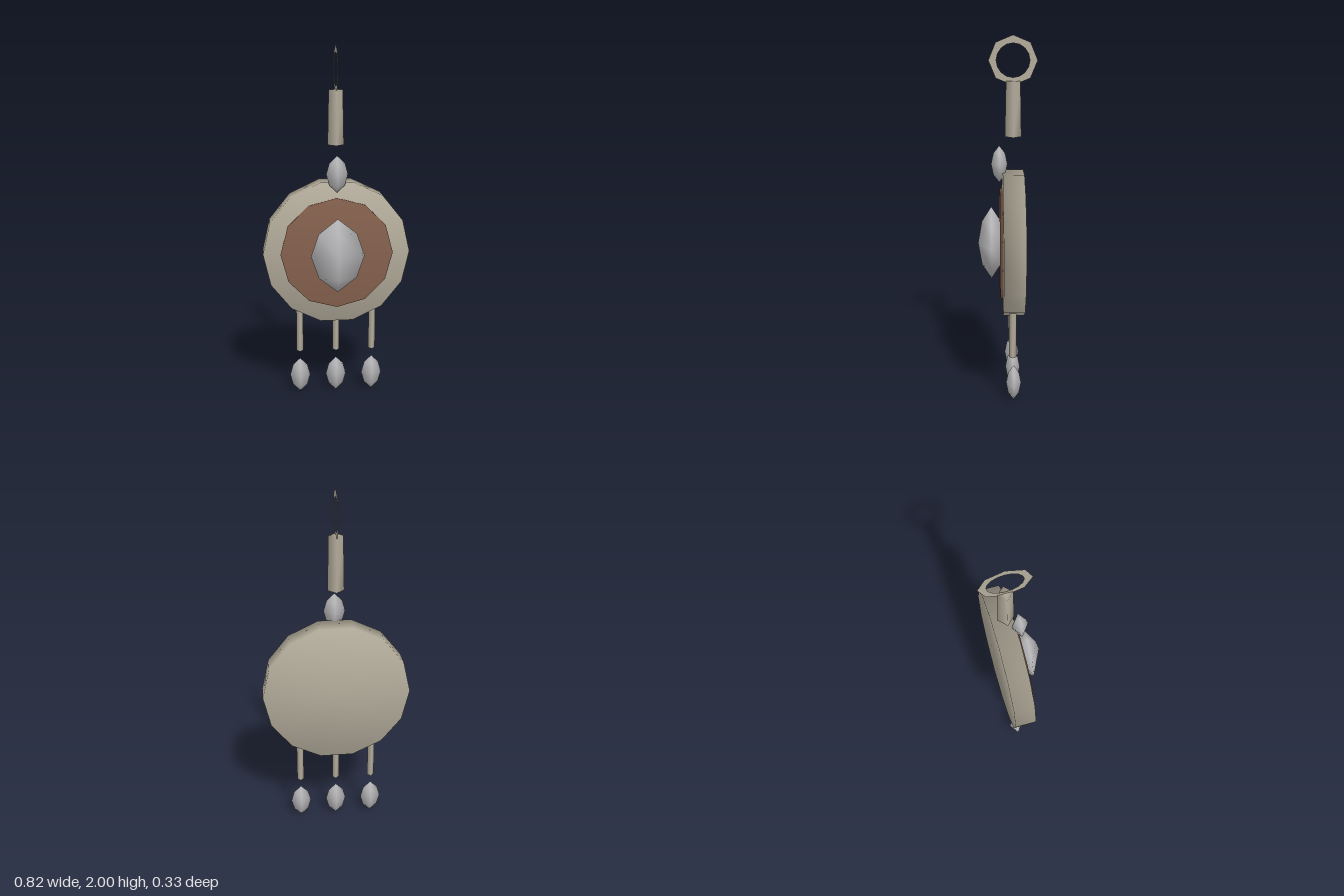
import * as THREE from 'three';
import { mergeVertices } from 'three/addons/utils/BufferGeometryUtils.js';

// Shares vertices across edges so shading is soft everywhere
function soften(geometry) {
  geometry.deleteAttribute('uv');
  geometry.deleteAttribute('normal');
  const merged = mergeVertices(geometry, 1e-4);
  merged.computeVertexNormals();
  return merged;
}

export function createModel() {
  const group = new THREE.Group();
  const material = (name, color) => {
    const m = new THREE.MeshStandardMaterial({ color });
    m.name = name;
    return m;
  };
  const stone = material('paleStone', 0xb5ae9d);
  const leather = material('brownLeather', 0x87624f);
  const silver = material('silver', 0xb9b9bb);
  const flatStone = material('ringStone', 0xb5ae9d);
  flatStone.side = THREE.DoubleSide;

  const add = (name, geometry, mat, x, y, z) => {
    const mesh = new THREE.Mesh(geometry, mat);
    mesh.name = name;
    mesh.position.set(x, y, z);
    group.add(mesh);
  };

  // Faceted disc facing +z with a corner on the x axis
  const disc = (radius, depth, sides) => soften(
    new THREE.CylinderGeometry(radius, radius, depth, sides, 1, false, Math.PI / 2).rotateX(Math.PI / 2));

  // Four-sided pointed bead
  const bead = (rx, ry, rz) => {
    const profile = [[0, -1], [0.71, -0.6], [1, 0], [0.71, 0.6], [0, 1]]
      .map(([r, y]) => new THREE.Vector2(r, y));
    return soften(new THREE.LatheGeometry(profile, 4).scale(rx, ry, rz));
  };

  // Four-sided tapered rod
  const rod = (top, bottom, height) => soften(new THREE.CylinderGeometry(top, bottom, height, 4));

  // Main medallion
  add('medallion', disc(0.412, 0.118, 14), stone, 0, 0.86, -0.032);
  add('medallionInlay', disc(0.315, 0.03, 12), leather, 0, 0.86, 0.028);
  add('centreGem', bead(0.149, 0.21, 0.075), silver, 0, 0.86, 0.09);
  add('topBead', bead(0.06, 0.102, 0.045), silver, 0, 1.31, 0.045);

  // Hanging stem and flat ring, seen edge-on from the front
  add('stem', rod(0.039, 0.045, 0.3), stone, 0, 1.61, -0.031);
  const polygon = (radius, sides) => Array.from({ length: sides }, (_, i) => {
    const a = (i / sides) * Math.PI * 2;
    return new THREE.Vector2(Math.cos(a) * radius, Math.sin(a) * radius);
  });
  const ringShape = new THREE.Shape(polygon(0.132, 8));
  ringShape.holes.push(new THREE.Path(polygon(0.09, 16)));
  add('hangingRing', new THREE.ShapeGeometry(ringShape).rotateY(Math.PI / 2), flatStone, 0, 1.868, -0.03);

  // Three tassels below the medallion
  for (const x of [-0.21, 0, 0.21]) {
    add('tasselRod', rod(0.019, 0.02, 0.3), stone, x, 0.41, -0.025);
    add('tasselBead', bead(0.059, 0.104, 0.042), silver, x, 0.105, -0.03);
  }
  return group;
}
